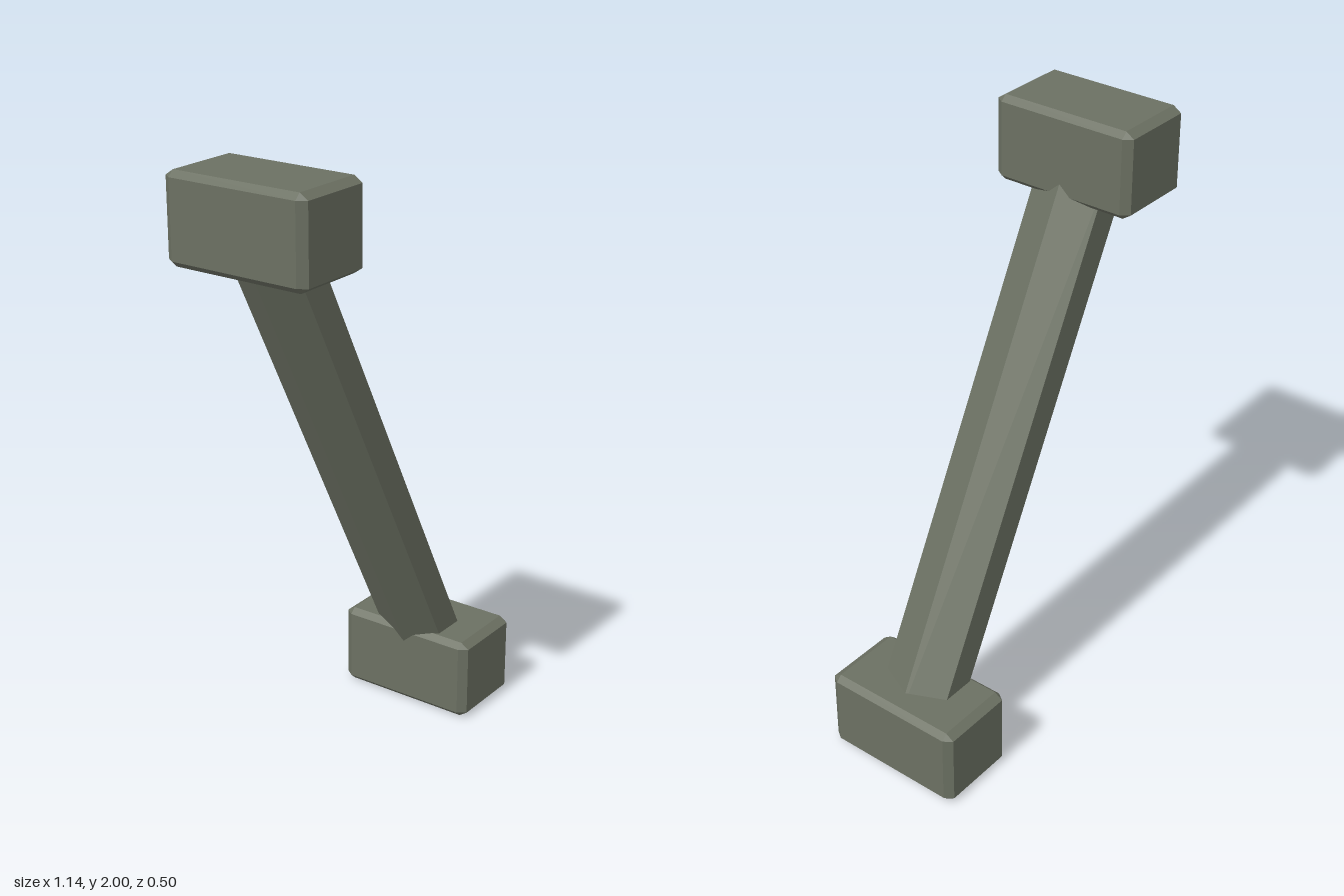
import * as THREE from 'three';
import { ConvexGeometry } from 'three/addons/geometries/ConvexGeometry.js';

const metal = new THREE.MeshStandardMaterial({ color: 0x6b7062 });
metal.name = 'grey green metal';

// Box with flat chamfers: each corner becomes three points
function chamferedBox(half, cut) {
  const points = [];
  for (const sx of [-1, 1]) for (const sy of [-1, 1]) for (const sz of [-1, 1]) {
    for (let axis = 0; axis < 3; axis++) {
      const c = half.map((h, i) => (i === axis ? h : h - cut[i]));
      points.push(new THREE.Vector3(sx * c[0], sy * c[1], sz * c[2]));
    }
  }
  return new ConvexGeometry(points);
}

// Leaning six-sided bar with level ends and flat faces to front and back
function leaningBar(halfHeight, lean, rx, rz) {
  const section = [[rx, 0], [rx / 2, rz], [-rx / 2, rz], [-rx, 0], [-rx / 2, -rz], [rx / 2, -rz]];
  const points = [];
  for (const y of [-halfHeight, halfHeight]) {
    for (const [x, z] of section) points.push(new THREE.Vector3(x - y * lean, y, z));
  }
  return new ConvexGeometry(points);
}

export function createModel() {
  const model = new THREE.Group();
  model.name = 'diagonalStrut';

  const add = (name, geometry, x, y) => {
    const mesh = new THREE.Mesh(geometry, metal);
    mesh.name = name;
    mesh.position.set(x, y, 0);
    model.add(mesh);
  };

  // End blocks
  const block = chamferedBox([0.142, 0.14, 0.25], [0.02, 0.019, 0.028]);
  add('upperBlock', block, -0.428, 1.86);
  add('lowerBlock', block, 0.428, 0.14);

  // Bar joining the blocks
  add('bar', leaningBar(0.85, 0.518, 0.115, 0.125), 0, 1);

  return model;
}
